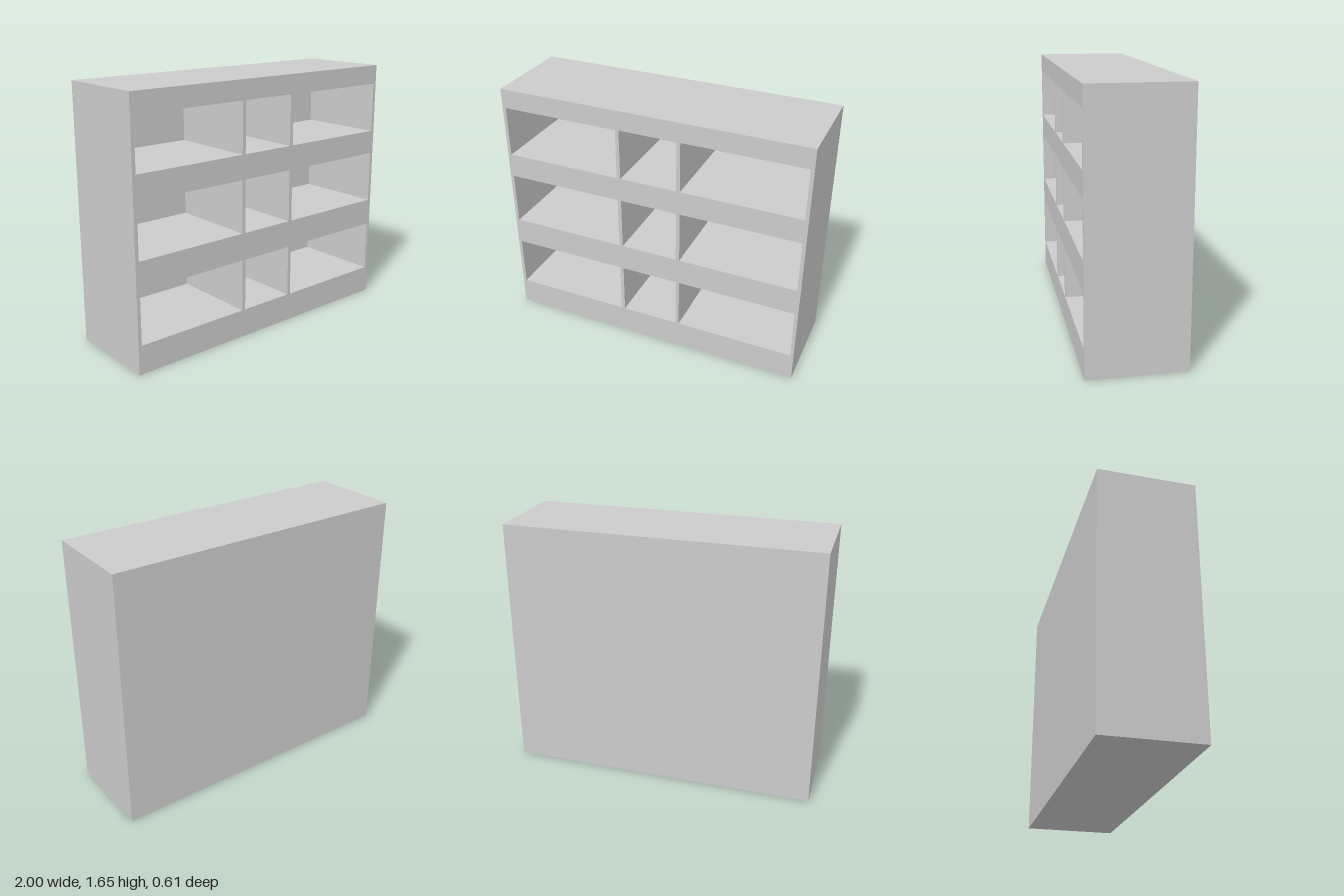
import * as THREE from 'three';

const WIDTH = 2, HEIGHT = 1.652, DEPTH = 0.61, BACK = 0.02;
// Openings: [left, right] of each column and [bottom, top] of each row
const COLUMNS = [[-0.977, -0.211], [-0.187, 0.187], [0.211, 0.977]];
const ROWS = [[0.182, 0.52], [0.697, 1.04], [1.198, 1.526]];

function rectangle(path, x0, y0, x1, y1) {
  path.moveTo(x0, y0);
  path.lineTo(x1, y0);
  path.lineTo(x1, y1);
  path.lineTo(x0, y1);
  path.closePath();
  return path;
}

export function createModel() {
  const group = new THREE.Group();
  group.name = 'shelfUnit';
  const material = new THREE.MeshStandardMaterial({ color: 0xcccccc, flatShading: true });

  // Frame with plinth, thick shelves and thin dividers around nine cubbies
  const outline = rectangle(new THREE.Shape(), -WIDTH / 2, 0, WIDTH / 2, HEIGHT);
  for (const [y0, y1] of ROWS) {
    for (const [x0, x1] of COLUMNS) {
      outline.holes.push(rectangle(new THREE.Path(), x0, y0, x1, y1));
    }
  }
  const frameGeometry = new THREE.ExtrudeGeometry(outline, { depth: DEPTH - BACK, bevelEnabled: false });
  frameGeometry.translate(0, 0, -DEPTH / 2 + BACK);
  const frame = new THREE.Mesh(frameGeometry, material);
  frame.name = 'shelfFrame';
  group.add(frame);

  // Thin panel closing the rear of the cubbies
  const back = new THREE.Mesh(new THREE.BoxGeometry(WIDTH, HEIGHT, BACK), material);
  back.name = 'backPanel';
  back.position.set(0, HEIGHT / 2, -DEPTH / 2 + BACK / 2);
  group.add(back);

  return group;
}
